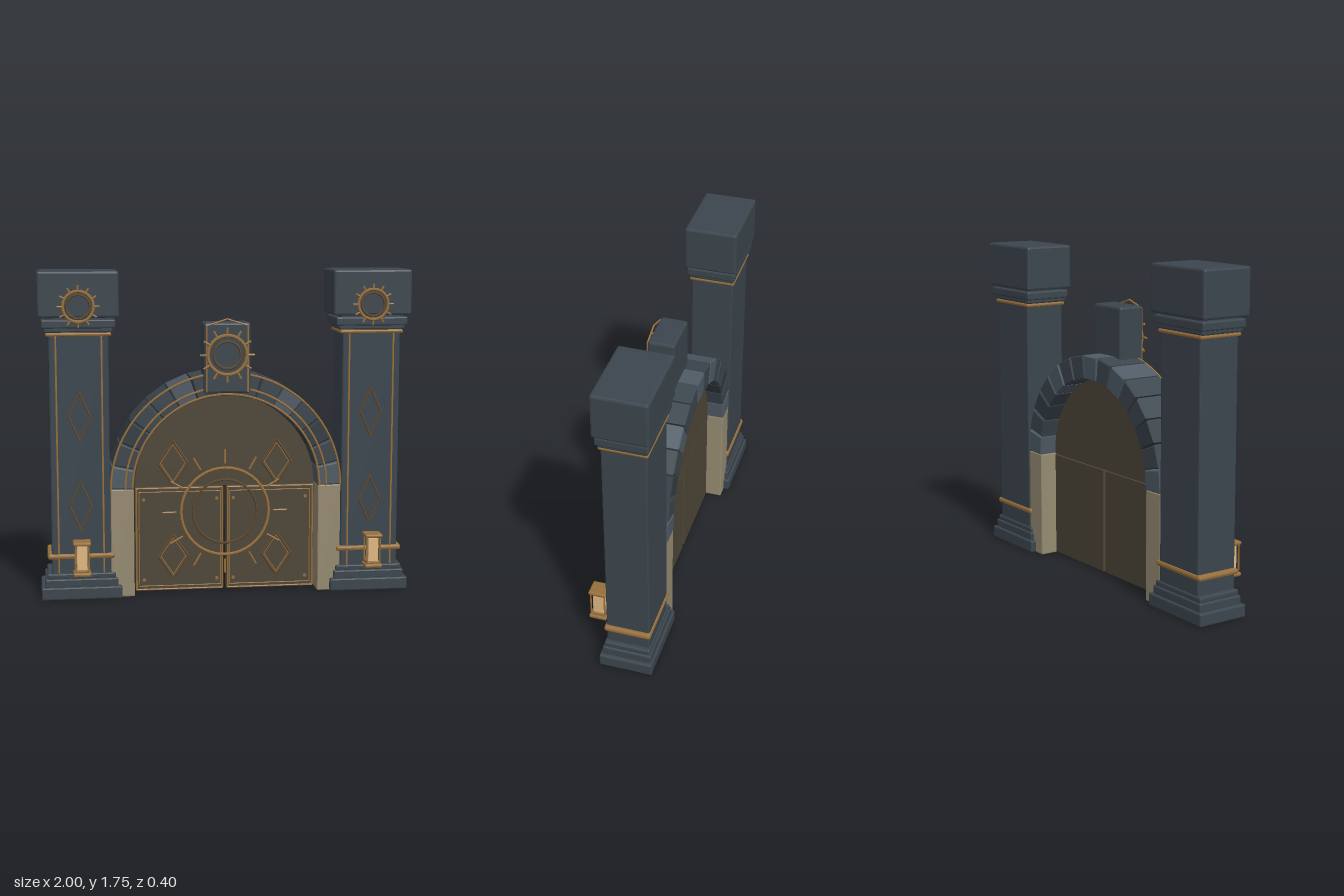
import * as THREE from 'three';
import { RoundedBoxGeometry } from 'three/addons/geometries/RoundedBoxGeometry.js';

const paint = (color) => new THREE.MeshStandardMaterial({ color, flatShading: true });
const stone = paint(0x3c464e), stoneLight = paint(0x4f5b66), stoneDark = paint(0x333c44);
const gold = paint(0x966f3c), bronze = paint(0x5c4830), wood = paint(0x4e4638);
const plaster = paint(0x968b72), glow = paint(0xe0b882);

function add(parent, name, geometry, material, x = 0, y = 0, z = 0) {
  const mesh = new THREE.Mesh(geometry, material);
  mesh.name = name;
  mesh.position.set(x, y, z);
  parent.add(mesh);
  return mesh;
}

function group(parent, name, x = 0, y = 0, z = 0) {
  const g = new THREE.Group();
  g.name = name;
  g.position.set(x, y, z);
  parent.add(g);
  return g;
}

// Box with chamfered edges, placed by its bottom and top heights
function block(parent, name, w, d, y0, y1, material, x = 0, z = 0, bevel = 0.008) {
  const geometry = new RoundedBoxGeometry(w, y1 - y0, d, 1, bevel);
  return add(parent, name, geometry, material, x, (y0 + y1) / 2, z);
}

// Thin round bar between two points in the xy plane
function bar(parent, name, a, b, r, material, z = 0) {
  const dx = b[0] - a[0], dy = b[1] - a[1];
  const geometry = new THREE.CylinderGeometry(r, r, Math.hypot(dx, dy) + r, 6);
  const mesh = add(parent, name, geometry, material, (a[0] + b[0]) / 2, (a[1] + b[1]) / 2, z);
  mesh.rotation.z = Math.atan2(dy, dx) - Math.PI / 2;
}

function outline(parent, name, points, r, material, z, closed = true) {
  const g = group(parent, name);
  points.forEach((p, i) => {
    if (closed || i < points.length - 1) bar(g, name + 'Bar', p, points[(i + 1) % points.length], r, material, z);
  });
}

const diamond = (parent, x, y, w, h, r, material, z) =>
  outline(parent, 'diamondTrim', [[x - w, y], [x, y + h], [x + w, y], [x, y - h]], r, material, z);

const frame = (parent, x0, x1, y0, y1, r, z) =>
  outline(parent, 'frameTrim', [[x0, y0], [x1, y0], [x1, y1], [x0, y1]], r, gold, z);

// Two rings with twelve rays
function sun(parent, x, y, z, outer, inner, rayIn, rayOut, r) {
  const g = group(parent, 'sunEmblem', x, y, z);
  add(g, 'outerRing', new THREE.TorusGeometry(outer, r, 6, 40), gold);
  add(g, 'innerRing', new THREE.TorusGeometry(inner, r * 0.8, 6, 40), bronze);
  for (let i = 0; i < 12; i++) {
    const c = Math.cos(i * Math.PI / 6), s = Math.sin(i * Math.PI / 6);
    bar(g, 'ray', [c * rayIn, s * rayIn], [c * rayOut, s * rayOut], r * 0.7, gold);
  }
}

function lantern(parent, z) {
  const g = group(parent, 'lantern', 0, 0, z);
  block(g, 'lanternFoot', 0.095, 0.095, 0.15, 0.172, gold);
  block(g, 'lanternBase', 0.075, 0.075, 0.17, 0.185, gold, 0, 0, 0.004);
  block(g, 'lanternGlass', 0.056, 0.06, 0.182, 0.315, glow, 0, 0, 0.004);
  block(g, 'lanternCap', 0.095, 0.095, 0.315, 0.336, gold);
  for (const x of [-1, 1]) for (const pz of [-1, 1])
    block(g, 'lanternPost', 0.008, 0.008, 0.18, 0.32, gold, x * 0.035, pz * 0.037, 0.002);
}

function pillar(parent, side) {
  const g = group(parent, side > 0 ? 'leftPillar' : 'rightPillar', side * 0.783, 0, -0.056);
  block(g, 'plinth', 0.43, 0.286, 0, 0.068, stone);
  block(g, 'plinthStep', 0.388, 0.262, 0.062, 0.112, stone);
  block(g, 'plinthCollar', 0.365, 0.246, 0.108, 0.14, stone);
  block(g, 'shaft', 0.315, 0.232, 0.12, 1.46, stone);
  block(g, 'neck', 0.36, 0.25, 1.43, 1.46, stone);
  block(g, 'neckSlab', 0.39, 0.268, 1.452, 1.498, stone);
  block(g, 'neckFiller', 0.34, 0.23, 1.48, 1.52, stone);
  block(g, 'capital', 0.426, 0.286, 1.507, 1.75, stone, 0, 0, 0.012);
  block(g, 'lowerBand', 0.36, 0.25, 0.217, 0.248, gold, 0, 0, 0.012);
  block(g, 'upperBand', 0.345, 0.25, 1.41, 1.43, gold);
  for (const x of [-0.12, 0.12]) block(g, 'shaftStrip', 0.01, 0.01, 0.14, 1.41, gold, x, 0.117, 0.003);
  for (const y of [0.985, 0.505]) diamond(g, 0, y, 0.057, 0.13, 0.006, bronze, 0.121);
  sun(g, 0, 1.567, 0.152, 0.08, 0.062, 0.085, 0.108, 0.008);
  lantern(g, 0.206);
}

// Arch of fifteen wedge stones with gold rings on the face
const SPRING = 0.585;
function arch(parent) {
  const g = group(parent, 'arch', 0, SPRING, 0);
  const tones = [stoneLight, stone, stoneDark, stone, stoneLight, stone, stone, stoneLight,
    stone, stoneLight, stone, stone, stoneDark, stone, stoneLight];
  const step = Math.PI / 15, bevel = 0.006;
  tones.forEach((tone, i) => {
    const a0 = i * step + 0.016, a1 = (i + 1) * step - 0.016;
    const shape = new THREE.Shape();
    [[0.506, a0], [0.622, a0], [0.622, a1], [0.506, a1]].forEach(([r, a], k) =>
      shape[k ? 'lineTo' : 'moveTo'](r * Math.cos(a), r * Math.sin(a)));
    const geometry = new THREE.ExtrudeGeometry(shape, {
      depth: 0.215, bevelThickness: bevel, bevelSize: bevel, bevelSegments: 1 });
    add(g, 'archStone', geometry, tone, 0, 0, -0.165);
  });
  for (const r of [0.507, 0.545, 0.622])
    add(g, 'archTrim', new THREE.TorusGeometry(r, 0.006, 6, 60, Math.PI), gold, 0, 0, 0.057);
}

function keystone(parent) {
  const g = group(parent, 'keystone');
  block(g, 'keystoneBlock', 0.25, 0.145, 1.1, 1.475, stone, 0, 0.01, 0.012);
  outline(g, 'keystoneTrim', [[-0.11, 1.11], [-0.11, 1.46], [0, 1.495], [0.11, 1.46], [0.11, 1.11]],
    0.005, gold, 0.086, false);
  sun(g, 0, 1.305, 0.092, 0.104, 0.072, 0.11, 0.143, 0.009);
}

// Two leaves, the half-round panel above them and the shared ornament
function doors(parent) {
  const g = group(parent, 'doors');
  const face = -0.018;
  for (const side of [-1, 1]) {
    const leaf = group(g, side > 0 ? 'leftDoor' : 'rightDoor');
    block(leaf, 'doorPanel', 0.482, 0.06, 0.008, 0.582, wood, side * 0.249, -0.05, 0.005);
    frame(leaf, side * 0.015, side * 0.483, 0.016, 0.575, 0.005, face);
    frame(leaf, side * 0.025, side * 0.468, 0.035, 0.555, 0.003, face);
    for (const x of [0.045, 0.443]) for (const y of [0.07, 0.515]) {
      const rivet = add(leaf, 'rivet', new THREE.CylinderGeometry(0.009, 0.009, 0.012, 8), gold, side * x, y, face);
      rivet.rotation.x = Math.PI / 2;
    }
    for (const y of [0.2, 0.713]) {
      diamond(g, side * 0.283, y, 0.08, 0.12, 0.008, bronze, face);
      diamond(g, side * 0.283, y, 0.068, 0.102, 0.003, gold, face);
    }
  }
  const half = new THREE.Shape();
  half.absarc(0, 0, 0.49, 0, Math.PI);
  half.closePath();
  const geometry = new THREE.ExtrudeGeometry(half, { depth: 0.06, bevelEnabled: false, curveSegments: 48 });
  add(g, 'tympanum', geometry, wood, 0, SPRING, -0.08);
  sun(g, 0, 0.442, -0.012, 0.24, 0.175, 0.268, 0.34, 0.008);
}

export function createModel() {
  const model = new THREE.Group();
  model.name = 'gate';
  for (const side of [-1, 1]) {
    pillar(model, side);
    block(model, side > 0 ? 'leftJamb' : 'rightJamb', 0.125, 0.225, 0, 0.588, plaster, side * 0.562, -0.055, 0.006);
  }
  arch(model);
  keystone(model);
  doors(model);
  return model;
}
